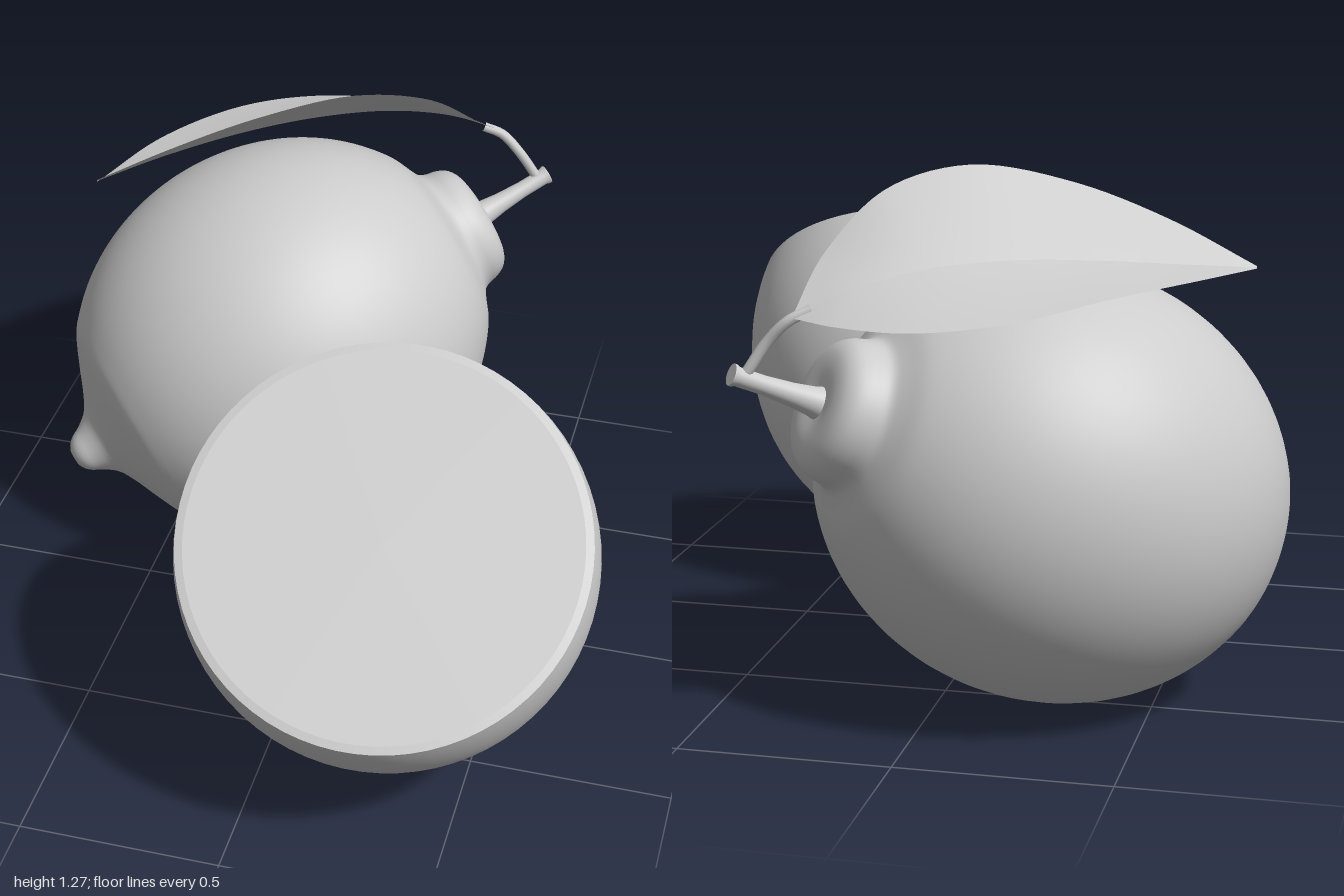
import * as THREE from 'three';

const grey = new THREE.MeshStandardMaterial({ color: 0xcccccc });
grey.name = 'pale grey';
const leafGrey = grey.clone();
leafGrey.name = 'pale grey leaf';
leafGrey.side = THREE.DoubleSide;

const V = (x, y, z) => new THREE.Vector3(x, y, z);
const UP = V(0, 1, 0);
const LONG = 0.577, WIDE = 0.515, CUT = 0.15; // fruit semi-axes and cutting height

function add(parent, name, geometry, material = grey) {
  const mesh = new THREE.Mesh(geometry, material);
  mesh.name = name;
  parent.add(mesh);
  return mesh;
}

// Fruit outline from the pointed end up to a given angle on the ellipse, then extra points
function fruitProfile(endAngle, extra) {
  const pts = [[0, -0.647], [0.008, -0.648], [0.014, -0.656], [0.03, -0.652], [0.05, -0.635],
    [0.068, -0.603], [0.095, -0.57], [0.14, -0.545], [0.21, -0.515]];
  const start = Math.asin(-0.475 / LONG), n = 20;
  for (let i = 0; i <= n; i++) {
    const a = start + (endAngle - start) * i / n;
    pts.push([WIDE * Math.cos(a), LONG * Math.sin(a)]);
  }
  pts.push(...extra);
  const curve = new THREE.CatmullRomCurve3(pts.map(p => V(p[0], p[1], 0)));
  return curve.getPoints(pts.length * 3).map(p => new THREE.Vector2(Math.max(0, p.x), p.y));
}

const lathe = pts => new THREE.LatheGeometry(pts, 72);

// Strip of surface between two edge curves
function wing(edgeA, edgeB, across = 6, along = 40) {
  const pos = [], index = [];
  for (let i = 0; i <= along; i++) {
    const a = edgeA.getPoint(i / along), b = edgeB.getPoint(i / along);
    for (let j = 0; j <= across; j++) pos.push(...a.clone().lerp(b, j / across).toArray());
  }
  for (let i = 0; i < along; i++) {
    for (let j = 0; j < across; j++) {
      const p = i * (across + 1) + j, q = p + across + 1;
      index.push(p, p + 1, q, p + 1, q + 1, q);
    }
  }
  const g = new THREE.BufferGeometry();
  g.setAttribute('position', new THREE.Float32BufferAttribute(pos, 3));
  g.setIndex(index);
  g.computeVertexNormals();
  return g;
}

const path = list => new THREE.CatmullRomCurve3(list.map(p => V(...p)));

export function createModel() {
  const model = new THREE.Group();
  model.name = 'citrusFruits';

  // Whole fruit with a raised collar around the stem
  const whole = new THREE.Group();
  whole.name = 'wholeFruit';
  whole.position.set(-0.25, 0.525, -0.455);
  whole.quaternion.setFromUnitVectors(UP, V(0.74, 0.39, -0.55).normalize());
  model.add(whole);
  add(whole, 'wholeFruitSkin', lathe(fruitProfile(Math.asin(0.5 / LONG), [
    [0.21, 0.522], [0.182, 0.538], [0.172, 0.558], [0.166, 0.585], [0.152, 0.612],
    [0.125, 0.63], [0.08, 0.636], [0.03, 0.63], [0, 0.628]])));

  // Stem, flared at its base
  const stemBase = V(0.205, 0.765, -0.795), stemTip = V(0.375, 0.855, -0.925);
  const stemLength = stemBase.distanceTo(stemTip);
  const stem = add(model, 'stem', lathe([[0.042, 0], [0.034, 0.03], [0.027, 0.08], [0.022, 0.15],
    [0.022, stemLength - 0.015], [0.026, stemLength - 0.004], [0.025, stemLength], [0.025, stemLength],
    [0, stemLength]].map(p => new THREE.Vector2(...p))));
  stem.position.copy(stemBase);
  stem.quaternion.setFromUnitVectors(UP, stemTip.clone().sub(stemBase).normalize());

  // Leaf: two wings meeting at the midrib
  const leaf = new THREE.Group();
  leaf.name = 'leaf';
  model.add(leaf);
  const midrib = path([[-0.7, 1.025, -0.3], [-0.55, 1.05, -0.435], [-0.37, 1.075, -0.566],
    [-0.2, 1.087, -0.67], [-0.03, 1.078, -0.767], [0.12, 1.04, -0.85], [0.24, 0.985, -0.905]]);
  const frontEdge = path([[-0.7, 1.028, -0.3], [-0.5, 1.135, -0.33], [-0.28, 1.225, -0.39],
    [-0.06, 1.27, -0.48], [0.11, 1.225, -0.59], [0.215, 1.1, -0.73], [0.24, 0.985, -0.905]]);
  const backEdge = path([[-0.7, 1.022, -0.3], [-0.6, 1.035, -0.55], [-0.44, 1.03, -0.78],
    [-0.25, 1.0, -0.945], [-0.05, 0.982, -0.998], [0.12, 0.98, -0.965], [0.24, 0.983, -0.905]]);
  add(leaf, 'leafFrontWing', wing(midrib, frontEdge), leafGrey);
  add(leaf, 'leafBackWing', wing(backEdge, midrib), leafGrey);
  add(leaf, 'leafStalk', new THREE.TubeGeometry(path([[0.2, 1.0, -0.885], [0.25, 0.975, -0.9],
    [0.3, 0.925, -0.9], [0.35, 0.85, -0.908]]), 20, 0.013, 10));

  // Cut fruit: same outline, sliced above the middle
  const half = new THREE.Group();
  half.name = 'cutFruit';
  const facing = V(0.07, 0.775, 0.63).normalize();
  half.scale.setScalar(0.97);
  half.quaternion.setFromUnitVectors(UP, facing);
  half.position.set(0.295, 0.74, 0.62).addScaledVector(facing, -CUT * 0.97);
  model.add(half);
  add(half, 'cutFruitSkin', lathe(fruitProfile(Math.asin(CUT / LONG), [])));
  const rim = WIDE * Math.cos(Math.asin(CUT / LONG)), inner = rim - 0.02;
  add(half, 'rindRing', lathe([new THREE.Vector2(rim, CUT), new THREE.Vector2(inner, CUT + 0.004)]));
  const flesh = add(half, 'flesh', new THREE.CircleGeometry(inner, 72).rotateX(-Math.PI / 2));
  flesh.position.y = CUT + 0.004;

  return model;
}
